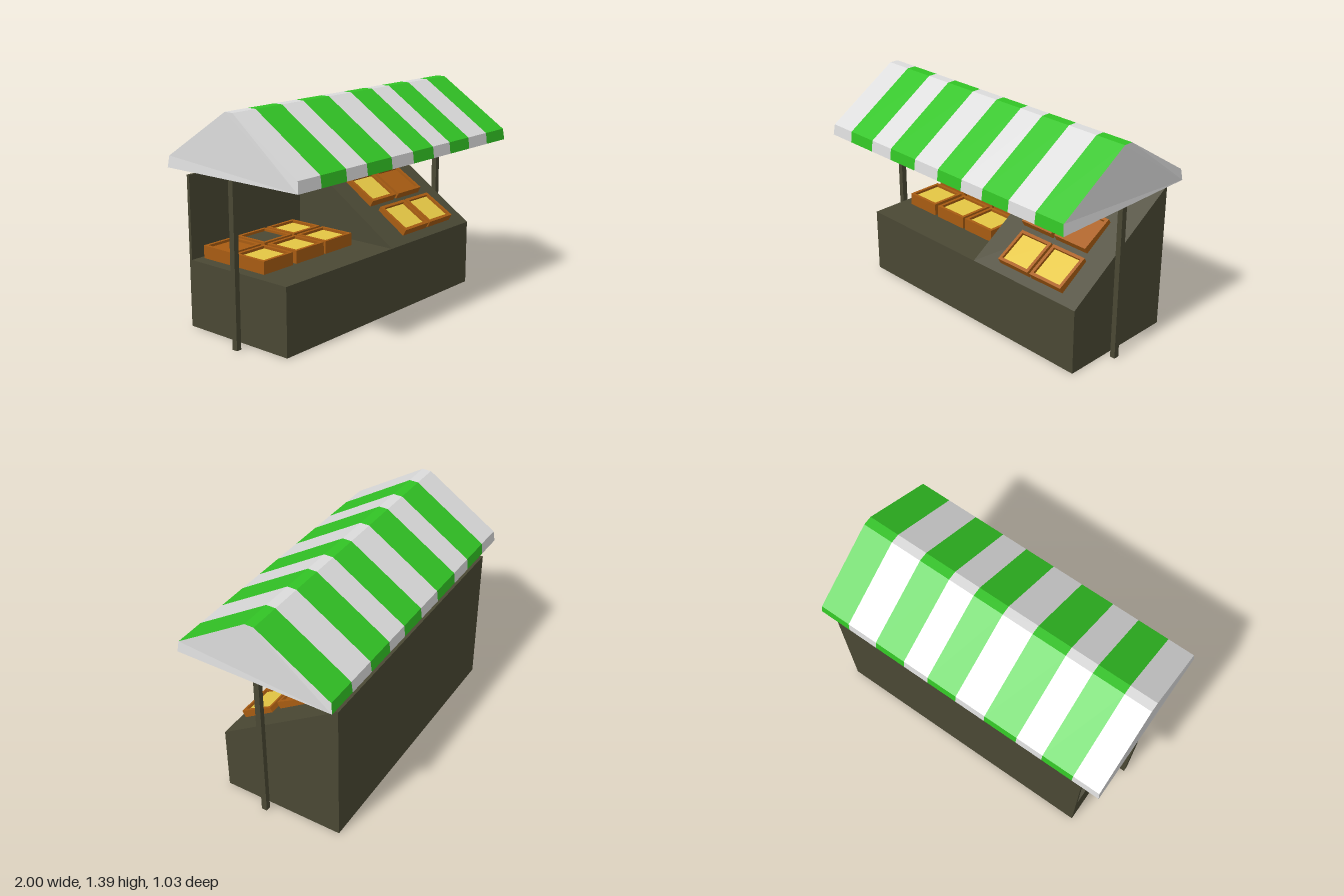
import * as THREE from 'three';

const mat = (name, color, side = THREE.FrontSide) => {
  const m = new THREE.MeshStandardMaterial({ color, side });
  m.name = name;
  return m;
};

// Flat convex polygons, corners counter-clockwise from outside
function polygons(list) {
  const pos = [];
  for (const p of list)
    for (let i = 1; i < p.length - 1; i++) pos.push(...p[0], ...p[i], ...p[i + 1]);
  const g = new THREE.BufferGeometry();
  g.setAttribute('position', new THREE.Float32BufferAttribute(pos, 3));
  g.computeVertexNormals();
  return g;
}

export function createModel() {
  const model = new THREE.Group();
  model.name = 'marketStall';
  const wood = mat('darkWood', 0x4a4834, THREE.DoubleSide);
  const white = mat('whiteCloth', 0xdcdcdc, THREE.DoubleSide);
  const green = mat('greenCloth', 0x32c425, THREE.DoubleSide);
  const brown = mat('crateWood', 0xa85c12);
  const yellow = mat('yellowProduce', 0xe4c644);

  const add = (parent, name, geo, material, x = 0, y = 0, z = 0) => {
    const m = new THREE.Mesh(geo, material);
    m.name = name;
    m.position.set(x, y, z);
    parent.add(m);
    return m;
  };

  // Counter body: open underneath, flat on one half, ramped on the other
  const L = -0.875, M = 0.08, R = 0.91, F = 0.3, B = -0.476, H = 0.425, T = 0.937;
  add(model, 'frontPanel', polygons([[[L, 0, F], [R, 0, F], [R, H, F], [L, H, F]]]), wood);
  add(model, 'flatCounter', polygons([[[L, H, F], [M, H, F], [M, H, B], [L, H, B]]]), wood);
  add(model, 'slopedCounter', polygons([[[M, H, F], [R, H, F], [R, T, B], [M, T, B]]]), wood);
  add(model, 'rampDivider', polygons([[[M, H, F], [M, T, B], [M, H, B]]]), wood);
  add(model, 'rightSidePanel', polygons([[[L, 0, F], [L, H, F], [L, H, B], [L, 0, B]]]), wood);
  add(model, 'leftSidePanel', polygons([[[R, 0, F], [R, 0, B], [R, T, B], [R, H, F]]]), wood);
  add(model, 'backPanel', new THREE.BoxGeometry(R - L, 0.948, 0.02), wood, (L + R) / 2, 0.474, -0.486);

  // Posts
  for (const s of [-1, 1])
    add(model, 'post', new THREE.BoxGeometry(0.034, 1.37, 0.036), wood, s * 0.966, 0.685, -0.012);

  // Canopy: striped cloth over a gable profile of [z, y], flaring at the hem
  const profile = [[0.515, 1.01], [0.506, 1.08], [0.03, 1.386], [-0.03, 1.386], [-0.506, 1.08], [-0.515, 1.01]];
  const canopy = new THREE.Group();
  canopy.name = 'canopy';
  model.add(canopy);
  const edgeX = (x, y) => (Math.abs(x) < 1 ? x : Math.sign(x) * (y < 1.05 ? 1 : 0.992));
  const at = (x, [z, y]) => [edgeX(x, y), y, z];
  const cuts = [-1, -0.815, -0.605, -0.425, -0.2, 0.005, 0.207, 0.38, 0.587, 0.79, 1];
  for (let i = 0; i < cuts.length - 1; i++) {
    const [a, b] = [cuts[i], cuts[i + 1]];
    const quads = [];
    for (let j = 0; j < profile.length - 1; j++) {
      const [p, q] = [profile[j], profile[j + 1]];
      quads.push([at(a, p), at(b, p), at(b, q), at(a, q)]);
    }
    add(canopy, 'canopyStripe', polygons(quads), i % 2 ? green : white);
  }
  add(canopy, 'rightGable', polygons([profile.map((p) => at(-1, p))]), white);
  add(canopy, 'leftGable', polygons([profile.map((p) => at(1, p)).reverse()]), white);

  // Crates: a rim with a raised floor and a layer of contents
  const W = 0.245, D = 0.24, CH = 0.08, rim = 0.02;
  const outline = (path, w, d) => {
    path.moveTo(-w, -d);
    path.lineTo(w, -d);
    path.lineTo(w, d);
    path.lineTo(-w, d);
    path.closePath();
    return path;
  };
  const rimShape = outline(new THREE.Shape(), W / 2, D / 2);
  rimShape.holes.push(outline(new THREE.Path(), W / 2 - rim, D / 2 - rim));
  const rimGeo = new THREE.ExtrudeGeometry(rimShape, { depth: CH, bevelEnabled: false }).rotateX(-Math.PI / 2);
  const floorGeo = new THREE.BoxGeometry(W - 2 * rim, 0.055, D - 2 * rim);
  const fillGeo = new THREE.BoxGeometry(W - 2 * rim, 0.009, D - 2 * rim);

  // Placed by the top front edge (x centre, y, z) and tilt
  const crate = (x, y, z, tilt, contents) => {
    const g = new THREE.Group();
    g.name = 'crate';
    const inner = new THREE.Group();
    inner.name = 'crateBody';
    inner.position.set(0, -CH, -D / 2);
    add(inner, 'crateRim', rimGeo, brown);
    add(inner, 'crateFloor', floorGeo, brown, 0, 0.0275, 0);
    add(inner, 'crateContents', fillGeo, contents, 0, 0.0595, 0);
    g.add(inner);
    g.position.set(x, y, z);
    g.rotation.x = tilt;
    model.add(g);
  };

  // Two rows on the flat counter
  const backRow = [brown, wood, yellow];
  [-0.678, -0.405, -0.142].forEach((x, i) => {
    crate(x, 0.505, 0.055, 0, yellow);
    crate(x, 0.505, -0.21, 0, backRow[i]);
  });

  // Four tilted crates sunk into the ramp
  const tilt = Math.PI / 6;
  crate(0.385, 0.5, 0.27, tilt, yellow);
  crate(0.646, 0.5, 0.27, tilt, yellow);
  crate(0.348, 0.658, 0.03, tilt, yellow);
  crate(0.618, 0.658, 0.03, tilt, brown);

  return model;
}
